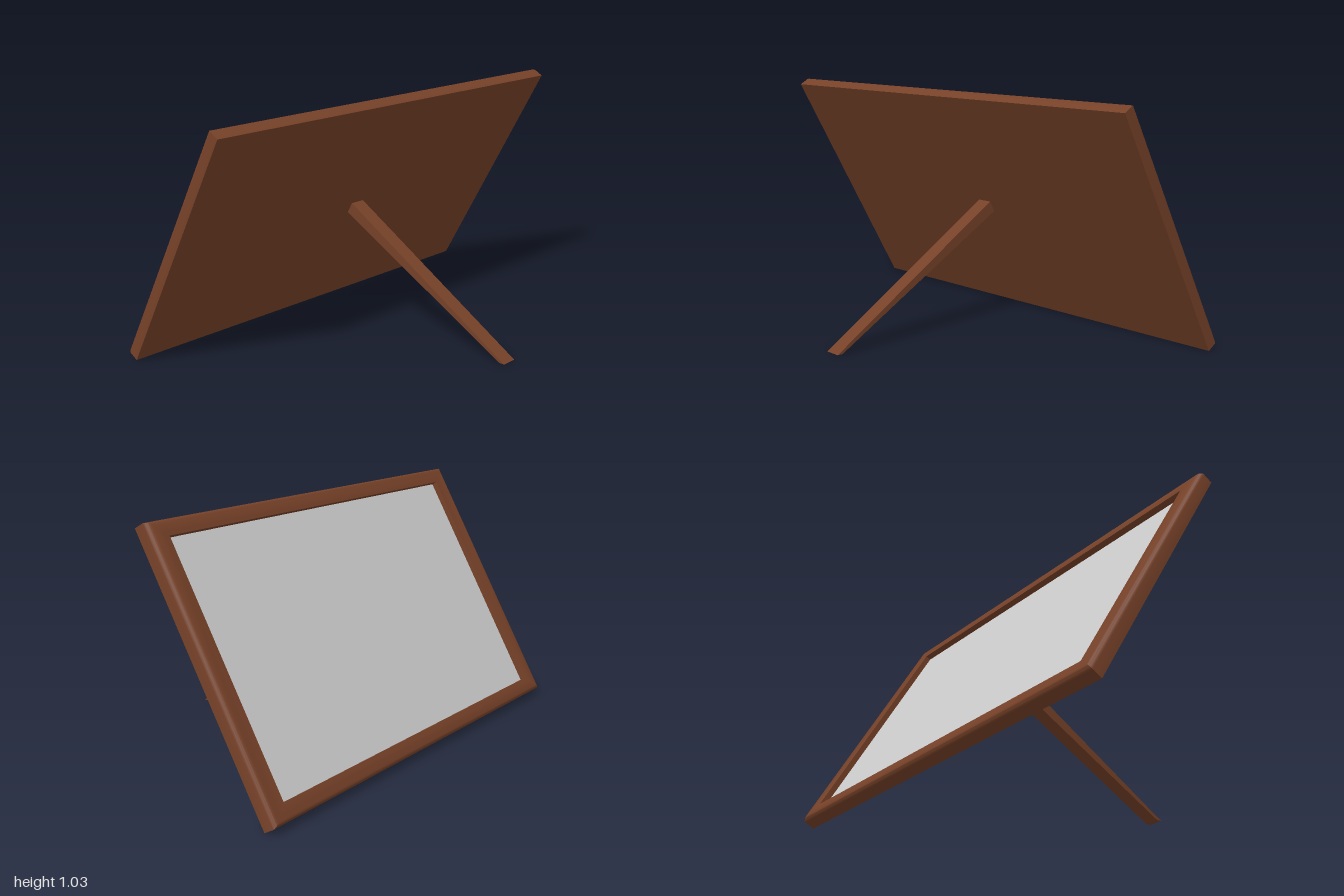
import * as THREE from 'three';
import { toCreasedNormals } from 'three/addons/utils/BufferGeometryUtils.js';

const HEIGHT = 1.16;          // length of the panel along its slope
const TILT = Math.PI / 6;     // lean from the vertical
const SIDE_STRETCH = 1.25;    // side rails are wider than top and bottom rails

// Moulding profile: [distance in from the outer edge, height above the back]
const PROFILE = [
  [0, 0], [0, 0.045], [0.002, 0.053], [0.008, 0.06], [0.016, 0.064],
  [0.05, 0.064], [0.068, 0.061], [0.068, 0.036],
];

// Four corners of the mitred rectangle for one profile point
function ring([d, h]) {
  const x = 1 - d * SIDE_STRETCH;
  return [[-x, d, -h], [x, d, -h], [x, HEIGHT - d, -h], [-x, HEIGHT - d, -h]];
}

function mouldingGeometry() {
  const positions = [];
  for (let i = 0; i < PROFILE.length - 1; i++) {
    const outer = ring(PROFILE[i]);
    const inner = ring(PROFILE[i + 1]);
    for (let j = 0; j < 4; j++) {
      const k = (j + 1) % 4;
      for (const p of [outer[j], inner[k], outer[k], outer[j], inner[j], inner[k]]) positions.push(...p);
    }
  }
  const geometry = new THREE.BufferGeometry();
  geometry.setAttribute('position', new THREE.Float32BufferAttribute(positions, 3));
  return toCreasedNormals(geometry, Math.PI / 5);
}

export function createModel() {
  const model = new THREE.Group();
  model.name = 'pictureFrame';
  const wood = new THREE.MeshStandardMaterial({ color: 0x764128 });
  const grey = new THREE.MeshStandardMaterial({ color: 0xcccccc });

  const add = (parent, name, geometry, material) => {
    const mesh = new THREE.Mesh(geometry, material);
    mesh.name = name;
    parent.add(mesh);
    return mesh;
  };

  // Leaning panel: moulding, backing and picture
  const panel = new THREE.Group();
  panel.name = 'panel';
  panel.rotation.x = TILT;
  panel.position.z = -0.555;
  model.add(panel);

  add(panel, 'moulding', mouldingGeometry(), wood);

  const backing = add(panel, 'backing', new THREE.PlaneGeometry(2, HEIGHT), wood);
  backing.position.y = HEIGHT / 2;

  const [d, h] = PROFILE[PROFILE.length - 1];
  const picture = add(panel, 'picture',
    new THREE.PlaneGeometry(2 - 2 * d * SIDE_STRETCH, HEIGHT - 2 * d), grey);
  picture.rotation.y = Math.PI;
  picture.position.set(0, HEIGHT / 2, -h);

  // Tapered support leg, drawn in side profile as (z, y) and extruded across x
  const profile = new THREE.Shape([
    [0.6, 0], [-0.253, 0.53], [-0.279, 0.484], [0.576, 0],
  ].map(([z, y]) => new THREE.Vector2(-z, y)));
  const legGeometry = new THREE.ExtrudeGeometry(profile, { depth: 0.07, bevelEnabled: false });
  legGeometry.translate(0, 0, -0.035).rotateY(Math.PI / 2);
  add(model, 'supportLeg', legGeometry, wood);

  return model;
}
